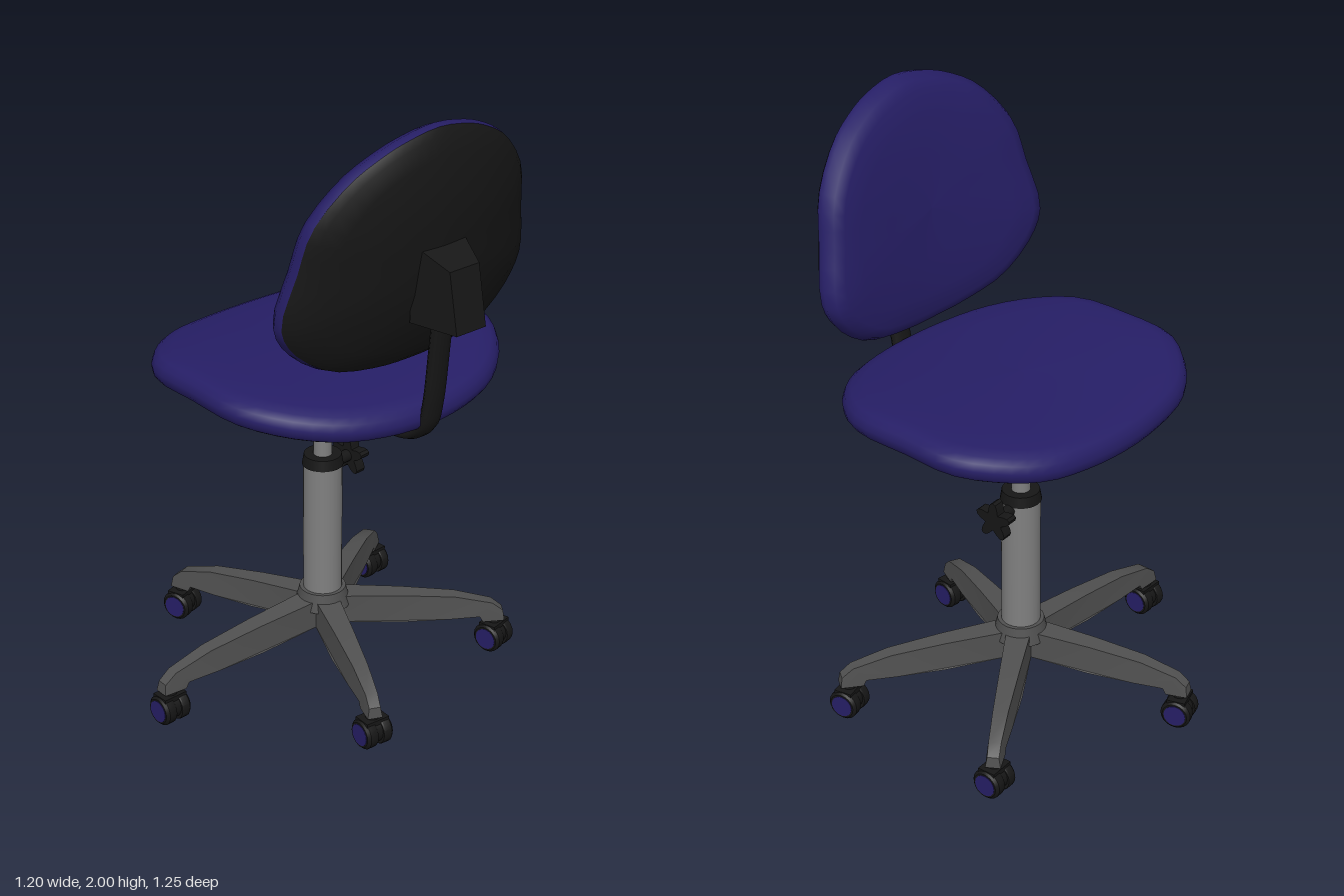
import * as THREE from 'three';
import { toCreasedNormals } from 'three/addons/utils/BufferGeometryUtils.js';

const paint = (color) => new THREE.MeshStandardMaterial({ color });
const BLACK = paint(0x161616), BLUE = paint(0x261e66), STEEL = paint(0x808080), BASE = paint(0x505050);

function add(parent, name, geometry, material, x = 0, y = 0, z = 0) {
  const mesh = new THREE.Mesh(geometry, material);
  mesh.name = name;
  mesh.position.set(x, y, z);
  parent.add(mesh);
  return mesh;
}

// Mirror half an outline (u >= 0, bottom to top) into a smooth closed loop
function mirrorOutline(half) {
  const left = half.slice(1, -1).reverse().map(([u, v]) => [-u, v]);
  const pts = [...half, ...left].map(([u, v]) => new THREE.Vector3(u, v, 0));
  return new THREE.CatmullRomCurve3(pts, true, 'centripetal').getPoints(56).slice(0, -1);
}

// Skin scaled copies of an outline; rings are [scale, depth], place maps (u, v, depth) to space
function shell(outline, rings, place) {
  const n = outline.length, pos = [], idx = [];
  rings.forEach(([s, w], i) => outline.forEach((p, j) => {
    pos.push(...place(p.x * s, p.y * s, w));
    if (i === rings.length - 1) return;
    const a = i * n + j, b = i * n + (j + 1) % n;
    idx.push(a, b, b + n, a, b + n, a + n);
  }));
  const g = new THREE.BufferGeometry();
  g.setAttribute('position', new THREE.Float32BufferAttribute(pos, 3));
  g.setIndex(idx);
  g.computeVertexNormals();
  return g;
}

// Move every vertex of a geometry by a rule
function reshape(g, rule) {
  const p = g.attributes.position, v = new THREE.Vector3();
  for (let i = 0; i < p.count; i++) {
    rule(v.fromBufferAttribute(p, i));
    p.setXYZ(i, v.x, v.y, v.z);
  }
  return toCreasedNormals(g, 0.5);
}

const cyl = (rTop, rBottom, h, sides = 24) => new THREE.CylinderGeometry(rTop, rBottom, h, sides);
const cylX = (rTop, rBottom, h, sides) => cyl(rTop, rBottom, h, sides).rotateZ(-Math.PI / 2);

// Five-lobed hand knob on a stem along +x
function starKnob(name, r, stem) {
  const knob = new THREE.Group();
  knob.name = name;
  add(knob, 'knobStem', cylX(r * 0.3, r * 0.3, stem, 12), BLACK, stem / 2);
  const shape = new THREE.Shape();
  for (let i = 0; i < 40; i++) {
    const a = (i / 40) * Math.PI * 2, q = r * (0.74 + 0.26 * Math.cos(5 * a));
    shape[i ? 'lineTo' : 'moveTo'](q * Math.sin(a), q * Math.cos(a));
  }
  const g = new THREE.ExtrudeGeometry(shape, { depth: r * 0.55, bevelEnabled: false }).rotateY(Math.PI / 2);
  add(knob, 'knobStar', toCreasedNormals(g, 0.6), BLACK, stem);
  return knob;
}

// Twin-wheel caster standing on y = 0
function makeCaster() {
  const caster = new THREE.Group();
  caster.name = 'caster';
  add(caster, 'casterNeck', cyl(0.02, 0.024, 0.05, 12), BLACK, 0, 0.105);
  add(caster, 'casterBody', cylX(0.042, 0.042, 0.03, 16), BLACK, 0, 0.054);
  add(caster, 'casterHood', new THREE.BoxGeometry(0.085, 0.02, 0.06), BLACK, 0, 0.09);
  for (const s of [-1, 1]) {
    const profile = [[0, -0.019], [0.048, -0.019], [0.05, -0.015], [0.05, 0.01], [0.041, 0.019], [0, 0.019]]
      .map(([r, h]) => new THREE.Vector2(r, h));
    const tyre = toCreasedNormals(new THREE.LatheGeometry(profile, 20), 0.5).rotateZ(-s * Math.PI / 2);
    add(caster, 'casterWheel', tyre, BLACK, s * 0.03, 0.05);
    add(caster, 'casterHub', cylX(0.036, 0.036, 0.006, 16), BLUE, s * 0.0475, 0.05);
  }
  return caster;
}

// One base arm along +x: side profile, tapering outwards and narrower on top
function armGeometry() {
  const profile = [[0.03, 0.15], [0.25, 0.135], [0.4, 0.13], [0.5, 0.13], [0.51, 0.11], [0.58, 0.11], [0.575, 0.145],
    [0.54, 0.175], [0.42, 0.208], [0.25, 0.228], [0.03, 0.245]].map(([x, y]) => new THREE.Vector2(x, y));
  const g = new THREE.ExtrudeGeometry(new THREE.Shape(profile), { depth: 1, bevelEnabled: false });
  return reshape(g, (v) => {
    const width = THREE.MathUtils.lerp(0.11, 0.048, v.x / 0.58);
    v.z = (v.z - 0.5) * width * (v.y > 0.14 ? 0.75 : 1);
  });
}

export function createModel() {
  const chair = new THREE.Group();
  chair.name = 'officeChair';
  const cx = 0.055, cz = -0.045;

  // Five-star base with casters: [x, z, caster yaw]
  const arm = armGeometry();
  const feet = [[-0.09, -0.565, 0.25], [0.55, -0.31, 0], [-0.552, -0.115, -0.05], [0.495, 0.31, 0.15], [-0.2, 0.428, -0.15]];
  for (const [x, z, yaw] of feet) {
    const dx = x - cx, dz = z - cz;
    const leg = add(chair, 'baseArm', arm, BASE, cx, 0, cz);
    leg.rotation.y = -Math.atan2(dz, dx);
    leg.scale.x = Math.hypot(dx, dz) / 0.55;
    const caster = makeCaster();
    caster.position.set(x, 0, z);
    caster.rotation.y = yaw;
    chair.add(caster);
  }

  // Hub and gas column
  add(chair, 'hubBottom', cyl(0.055, 0.05, 0.08), BASE, cx, 0.18, cz);
  add(chair, 'hub', cyl(0.075, 0.09, 0.06), BASE, cx, 0.24, cz);
  add(chair, 'columnTube', cyl(0.0625, 0.0625, 0.48), STEEL, cx, 0.48, cz);
  add(chair, 'columnCollar', cyl(0.06, 0.066, 0.035), BLACK, cx, 0.732, cz);
  add(chair, 'columnRod', cyl(0.03, 0.03, 0.22), STEEL, cx, 0.84, cz);
  const columnKnob = starKnob('heightKnob', 0.066, 0.11);
  columnKnob.position.set(cx, 0.7, cz);
  chair.add(columnKnob);

  // Swivelling upper part
  const upper = new THREE.Group();
  upper.name = 'upperChair';
  upper.position.set(cx, 0, cz);
  upper.rotation.y = -0.087;
  chair.add(upper);

  // Seat: dished across, dropping to the front and back
  const seatLine = mirrorOutline([[0, -0.5], [0.15, -0.487], [0.3, -0.44], [0.43, -0.34], [0.515, -0.2], [0.525, 0],
    [0.515, 0.18], [0.42, 0.31], [0.31, 0.383], [0.16, 0.417], [0, 0.428]]);
  const seatPlace = (u, v, w) => [u, w + 0.02 * (u / 0.52) ** 2 - 0.035 * (v / 0.45) ** 2, -v];
  add(upper, 'seatPan', shell(seatLine, [[0, 0.995], [0.3, 1.0], [0.55, 1.015], [0.8, 1.045], [0.93, 1.065], [0.975, 1.08]],
    seatPlace), BLACK);
  add(upper, 'seatCushion', shell(seatLine, [[0.975, 1.08], [0.995, 1.095], [1, 1.115], [0.985, 1.138], [0.95, 1.153],
    [0.88, 1.163], [0.7, 1.167], [0.35, 1.17], [0, 1.17]], seatPlace), BLUE);

  // Backrest: tilted and wrapping forward at the sides
  const backLine = mirrorOutline([[0, -0.375], [0.13, -0.37], [0.3, -0.335], [0.43, -0.24], [0.475, -0.15], [0.442, 0.02],
    [0.408, 0.16], [0.3, 0.29], [0.2, 0.35], [0.12, 0.38], [0, 0.4]]);
  const backPlace = (u, v, w) => [u, 1.6 + v, 0.43 + 0.148 * v + w - 0.06 * (u / 0.47) ** 2];
  add(upper, 'backCushion', shell(backLine, [[0, -0.07], [0.4, -0.068], [0.7, -0.062], [0.88, -0.05], [0.96, -0.032],
    [1, 0], [0.985, 0.025]], backPlace), BLUE);
  add(upper, 'backShell', shell(backLine, [[0.985, 0.025], [0.93, 0.045], [0.8, 0.07], [0.55, 0.095], [0.3, 0.107],
    [0, 0.11]], backPlace), BLACK);

  // Backrest bracket: narrower and lower towards the rear
  const bracket = reshape(new THREE.BoxGeometry(0.19, 0.25, 0.16), (v) => {
    if (v.z < 0) return;
    v.x *= 0.6;
    if (v.y > 0) { v.y -= 0.06; v.z -= 0.035; }
  });
  add(upper, 'backBracket', bracket, BLACK, 0, 1.535, 0.585);

  // Flat bent bar from bracket to seat mechanism
  const barPath = new THREE.CatmullRomCurve3([[1.5, 0.55], [1.3, 0.53], [1.12, 0.508], [1.04, 0.485], [0.995, 0.43],
    [0.977, 0.34], [0.972, 0.2], [0.972, 0.05]].map(([y, z]) => new THREE.Vector3(0, y, z)));
  add(upper, 'backBar', new THREE.TubeGeometry(barPath, 40, 0.021, 10), BLACK).scale.x = 1.9;

  // Mechanism under the seat
  const housing = reshape(new THREE.BoxGeometry(0.42, 0.085, 0.42), (v) => {
    if (v.y < 0) { v.x *= 0.72; v.z *= 0.75; }
  });
  add(upper, 'seatMechanism', housing, BLACK, 0, 0.988, 0);
  add(upper, 'mechanismCollar', cyl(0.068, 0.06, 0.045), BLACK, 0, 0.93, 0);
  const seatKnob = starKnob('tiltKnob', 0.042, 0.22);
  seatKnob.position.set(0.01, 0.968, 0.165);
  upper.add(seatKnob);

  return chair;
}
